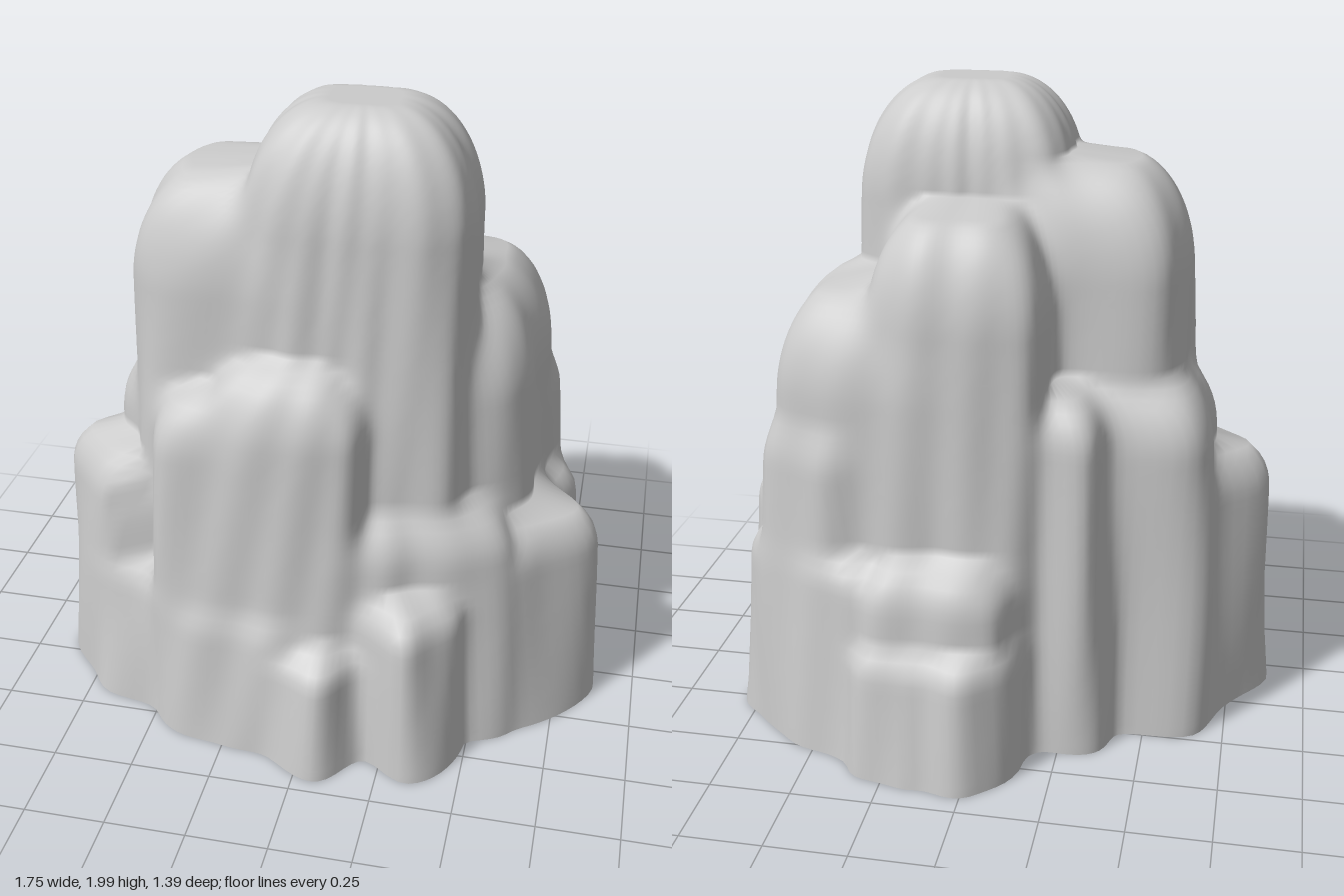
import * as THREE from 'three';

const SEG = 160, LEVELS = 96, HEIGHT = 2, BASE = 0.01, TAPER = 0.92, BLEND = 0.022;

// A tapering column with a rounded crown, as a rule giving the signed distance to its side.
// centre x and z, half width and depth, turn seen from above
function column(top, x, z, halfX, halfZ, turn = 0) {
  const least = Math.min(halfX, halfZ), cos = Math.cos(turn), sin = Math.sin(turn);
  const round = least * (0.5 + 0.4 * top), shoulder = top - round;
  return {
    top,
    distance(px, py, pz) {
      const rise = Math.max(0, (py - shoulder) / round);
      const crown = 0.3 + 0.7 * Math.sqrt(Math.max(0, 1 - rise * rise));
      const scale = (1 - (1 - TAPER) * Math.min(1, py / shoulder)) * crown;
      const lean = 1 - 0.06 * (py / top);
      const dx = px - x * lean, dz = pz - z * lean;
      const u = (dx * cos + dz * sin) / halfX, v = (dz * cos - dx * sin) / halfZ;
      return ((u ** 4 + v ** 4) ** 0.25 - scale) * least;
    },
  };
}

const COLUMNS = [
  // Tall core
  column(2, 0.11, 0.15, 0.36, 0.27),
  column(1.79, -0.27, 0.11, 0.34, 0.29),
  column(1.68, 0.08, -0.17, 0.29, 0.29),
  column(1.46, 0.35, -0.1, 0.32, 0.36, 0.08),
  // Front slab in two steps
  column(1.28, -0.08, 0.35, 0.26, 0.22),
  column(1.18, -0.3, 0.35, 0.21, 0.2),
  // Mid-height buttresses
  column(1.16, -0.48, -0.01, 0.23, 0.24),
  column(1.15, -0.21, -0.22, 0.2, 0.16, 0.3),
  column(1.06, 0.5, -0.27, 0.17, 0.19, 0.4),
  column(0.82, 0.33, 0.28, 0.29, 0.2, -0.33),
  // Side columns, corners pointing outwards
  column(0.89, -0.65, 0.17, 0.2, 0.2, 0.8),
  column(0.74, 0.65, 0.08, 0.2, 0.2, 0.8),
  column(0.68, 0.6, -0.19, 0.17, 0.2, 0.5),
  // Front foot
  column(0.53, -0.5, 0.33, 0.2, 0.15, 0.3),
  column(0.5, -0.2, 0.45, 0.2, 0.16, 0.15),
  column(0.4, 0.06, 0.55, 0.12, 0.14, 0.5),
  column(0.57, 0.33, 0.49, 0.14, 0.14, 0.7),
  // Back foot
  column(0.68, 0.12, -0.4, 0.24, 0.2),
  column(0.43, 0.02, -0.53, 0.13, 0.15, 0.6),
  column(0.42, 0.23, -0.53, 0.12, 0.12, 0.2),
  column(0.66, 0.41, -0.41, 0.12, 0.13, 0.5),
];

// Distance to all the columns melted together
function rockDistance(columns, x, y, z) {
  let sum = 0;
  for (const c of columns) sum += Math.exp(-c.distance(x, y, z) / BLEND);
  return -BLEND * Math.log(sum);
}

// Outermost radius of the rock from its axis at one height and angle
function rockRadius(columns, axis, y, angle) {
  const c = Math.cos(angle), s = -Math.sin(angle);
  const at = (r) => rockDistance(columns, axis.x + c * r, y, axis.y + s * r);
  let outer = 1.1;
  while (outer > 0.03 && at(outer) > 0) outer -= 0.02;
  let inner = outer;
  outer += 0.02;
  for (let i = 0; i < 6; i++) {
    const mid = (inner + outer) / 2;
    if (at(mid) > 0) outer = mid; else inner = mid;
  }
  return inner;
}

// One level of the rock; levels crowd together towards the summit
function ring(level) {
  const y = BASE + (HEIGHT - BASE) * Math.sin((level / LEVELS) * Math.PI / 2);
  const u = y / HEIGHT, axis = new THREE.Vector2(0.1 * u, 0.02 + 0.12 * u);
  const columns = COLUMNS.filter((c) => c.top >= y);
  return Array.from({ length: SEG }, (_, i) => {
    const a = (i / SEG) * Math.PI * 2;
    const folds = 1 + 0.01 * Math.sin(a * 11 + y * 3) + 0.008 * Math.sin(a * 19 - y * 4);
    const r = rockRadius(columns, axis, y, a) * folds;
    return new THREE.Vector3(axis.x + Math.cos(a) * r, y, axis.y - Math.sin(a) * r);
  });
}

function rockMesh(name, points, index) {
  const geo = new THREE.BufferGeometry().setFromPoints(points);
  geo.setIndex(index);
  geo.computeVertexNormals();
  const mesh = new THREE.Mesh(geo, new THREE.MeshStandardMaterial({ color: 0xcccccc }));
  mesh.name = name;
  return mesh;
}

export function createModel() {
  const rings = Array.from({ length: LEVELS + 1 }, (_, l) => ring(l));
  const sides = [], summit = [], under = [];
  const tip = rings.length * SEG, last = LEVELS * SEG;
  for (let i = 0; i < SEG; i++) {
    const j = (i + 1) % SEG;
    for (let l = 0; l < LEVELS; l++) {
      const a = l * SEG + i, b = l * SEG + j;
      sides.push(a, b, b + SEG, a, b + SEG, a + SEG);
    }
    summit.push(last + i, last + j, tip);
    under.push(j, i, SEG);
  }
  const rock = new THREE.Group();
  rock.name = 'rock';
  rock.add(
    rockMesh('rockFace', [...rings.flat(), new THREE.Vector3(0.1, HEIGHT, 0.14)], [...sides, ...summit]),
    rockMesh('underside', [...rings[0], new THREE.Vector3(0, BASE, 0.02)], under),
  );
  return rock;
}
